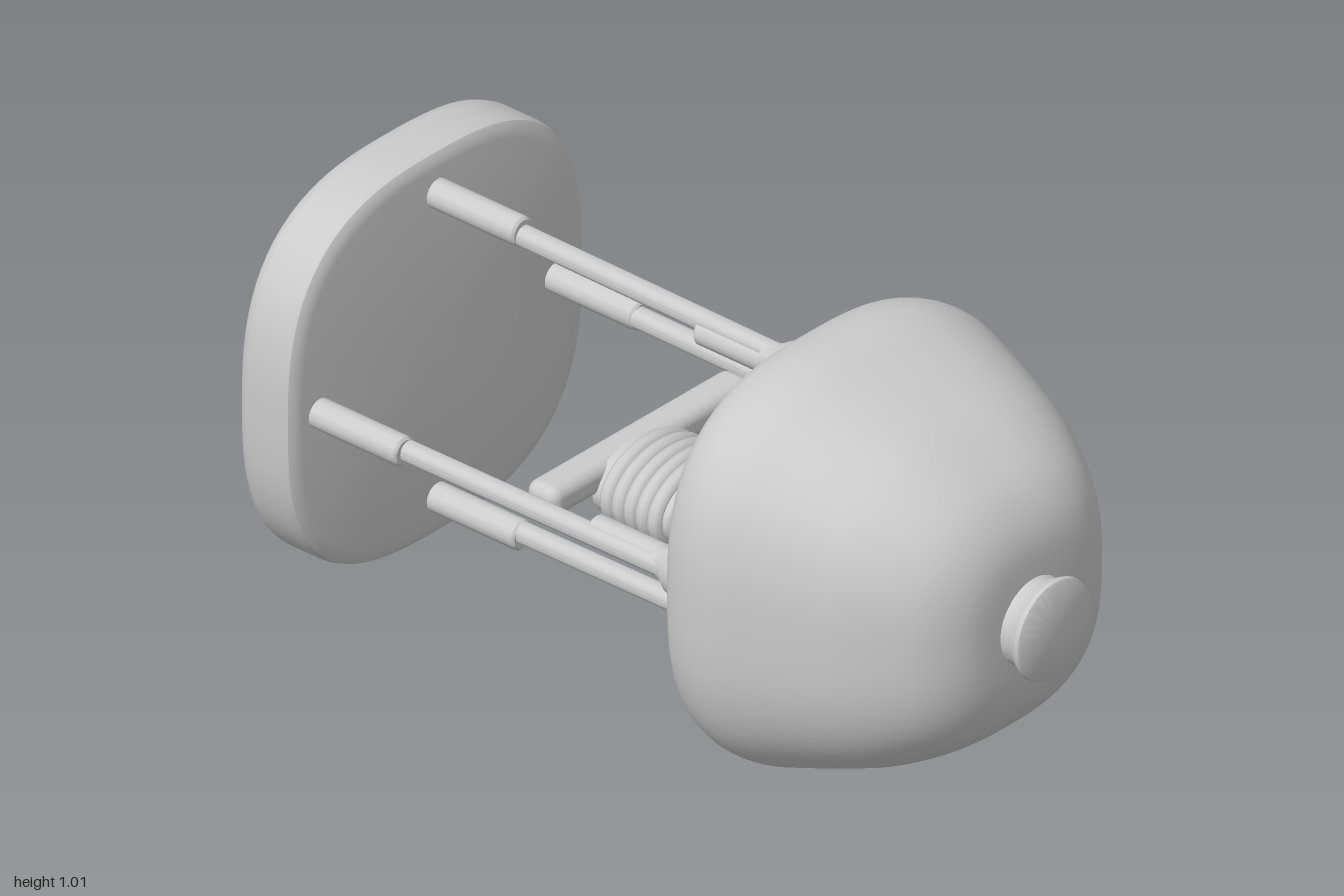
import * as THREE from 'three';
import { mergeVertices, toCreasedNormals } from 'three/addons/utils/BufferGeometryUtils.js';
import { RoundedBoxGeometry } from 'three/addons/geometries/RoundedBoxGeometry.js';

const CY = 0.506; // height of the long axis
const material = new THREE.MeshStandardMaterial({ color: 0xcccccc });

function part(name, geometry, x = 0, y = 0, z = 0) {
  const mesh = new THREE.Mesh(geometry, material);
  mesh.name = name;
  mesh.position.set(x, y, z);
  return mesh;
}

// Turn a [radius, z] profile round the z axis; a power above 2 squares the section
function turned(profile, { power = 2, smooth = 0, segments = 64, crease = 0.6 } = {}) {
  let points = profile.map(([r, z]) => new THREE.Vector2(r, z));
  if (smooth) points = new THREE.SplineCurve(points).getPoints(smooth);
  points.forEach((p) => { p.x = Math.max(p.x, 0); });
  let geometry = new THREE.LatheGeometry(points, segments);
  geometry.rotateX(Math.PI / 2);
  const pos = geometry.attributes.position;
  for (let i = 0; i < pos.count; i++) {
    const a = Math.atan2(pos.getY(i), pos.getX(i));
    const k = (Math.abs(Math.cos(a)) ** power + Math.abs(Math.sin(a)) ** power) ** (-1 / power);
    pos.setXY(i, pos.getX(i) * k, pos.getY(i) * k);
  }
  geometry.deleteAttribute('uv');
  geometry.deleteAttribute('normal');
  geometry = mergeVertices(geometry, 1e-4);
  return toCreasedNormals(geometry, crease);
}

// Round bar along z between two depths
function bar(r, z0, z1) {
  const b = 0.006;
  return turned([[0, z0], [r - b, z0], [r, z0 + b], [r, z1 - b], [r - b, z1], [0, z1]], { segments: 20 });
}

// One post lying above the axis: rod, outer rear sleeve, inner front sleeve, flared foot
function makePost(name) {
  const post = new THREE.Group();
  post.name = name;
  const rod = part('rod', bar(0.026, -0.86, 0.22), 0, 0.379, 0);
  rod.rotation.x = 0.008;
  post.add(
    rod,
    part('rearSleeve', bar(0.036, -0.86, -0.585), 0, 0.392),
    part('frontSleeve', bar(0.036, -0.055, 0.22), 0, 0.356),
    part('foot', turned([[0.036, 0.14], [0.042, 0.17], [0.058, 0.195], [0.07, 0.23]], { segments: 20 }), 0, 0.362),
  );
  return post;
}

export function createModel() {
  const model = new THREE.Group();

  // Domed front body with a squared round section
  const dome = [
    [0.42, 0.225], [0.452, 0.24], [0.482, 0.275], [0.502, 0.345], [0.499, 0.42], [0.473, 0.51],
    [0.44, 0.61], [0.4, 0.71], [0.34, 0.81], [0.28, 0.875], [0.2, 0.917], [0.1, 0.929], [0, 0.93],
  ];
  model.add(part('body', turned(dome, { power: 2.75, smooth: 60, segments: 96 }), 0, CY));

  // Rear face of the body: groove, raised rim and flat centre
  const rear = [[0, 0.212], [0.33, 0.212], [0.35, 0.205], [0.375, 0.2], [0.395, 0.203], [0.408, 0.222], [0.425, 0.226]];
  model.add(part('bodyRearFace', turned(rear, { power: 2.4, segments: 96 }), 0, CY));

  // Front knob with a waisted side
  const knob = [
    [0.11, 0.915], [0.106, 0.94], [0.108, 0.955], [0.119, 0.972], [0.125, 0.984],
    [0.123, 0.993], [0.115, 0.998], [0, 1.0],
  ];
  model.add(part('knob', turned(knob), -0.008, CY - 0.002));

  // Rear plate with softened edges
  const plate = [
    [0, -1], [0.465, -1], [0.48, -0.996], [0.489, -0.985], [0.494, -0.965],
    [0.494, -0.87], [0.489, -0.852], [0.475, -0.843], [0.455, -0.84], [0, -0.84],
  ];
  model.add(part('rearPlate', turned(plate, { power: 2.75, segments: 96 }), 0, CY));

  // Four posts in a diamond round the axis
  ['topPost', 'leftPost', 'bottomPost', 'rightPost'].forEach((name, i) => {
    const post = makePost(name);
    post.position.set(-0.005, CY, 0);
    post.rotation.z = -i * Math.PI / 2;
    model.add(post);
  });

  // Crossbar between the side posts
  model.add(part('crossbar', new RoundedBoxGeometry(0.67, 0.075, 0.092, 4, 0.028), -0.013, 0.498, -0.233));

  // Oval coil: a core wrapped by a helix
  const coil = new THREE.Group();
  coil.name = 'coil';
  coil.position.set(-0.065, 0.465, 0);
  const core = part('coilCore', turned([[0, -0.2], [0.142, -0.2], [0.142, 0.018], [0.132, 0.028], [0, 0.03]]));
  core.scale.y = 0.62;
  const turns = 5;
  const path = [];
  for (let i = 0; i <= turns * 20; i++) {
    const a = (i / 20) * Math.PI * 2;
    path.push(new THREE.Vector3(0.142 * Math.cos(a), 0.085 * Math.sin(a), -0.17 + 0.175 * i / (turns * 20)));
  }
  const wire = new THREE.TubeGeometry(new THREE.CatmullRomCurve3(path), 200, 0.02, 10);
  coil.add(core, part('coilWire', wire));
  model.add(coil);

  return model;
}
